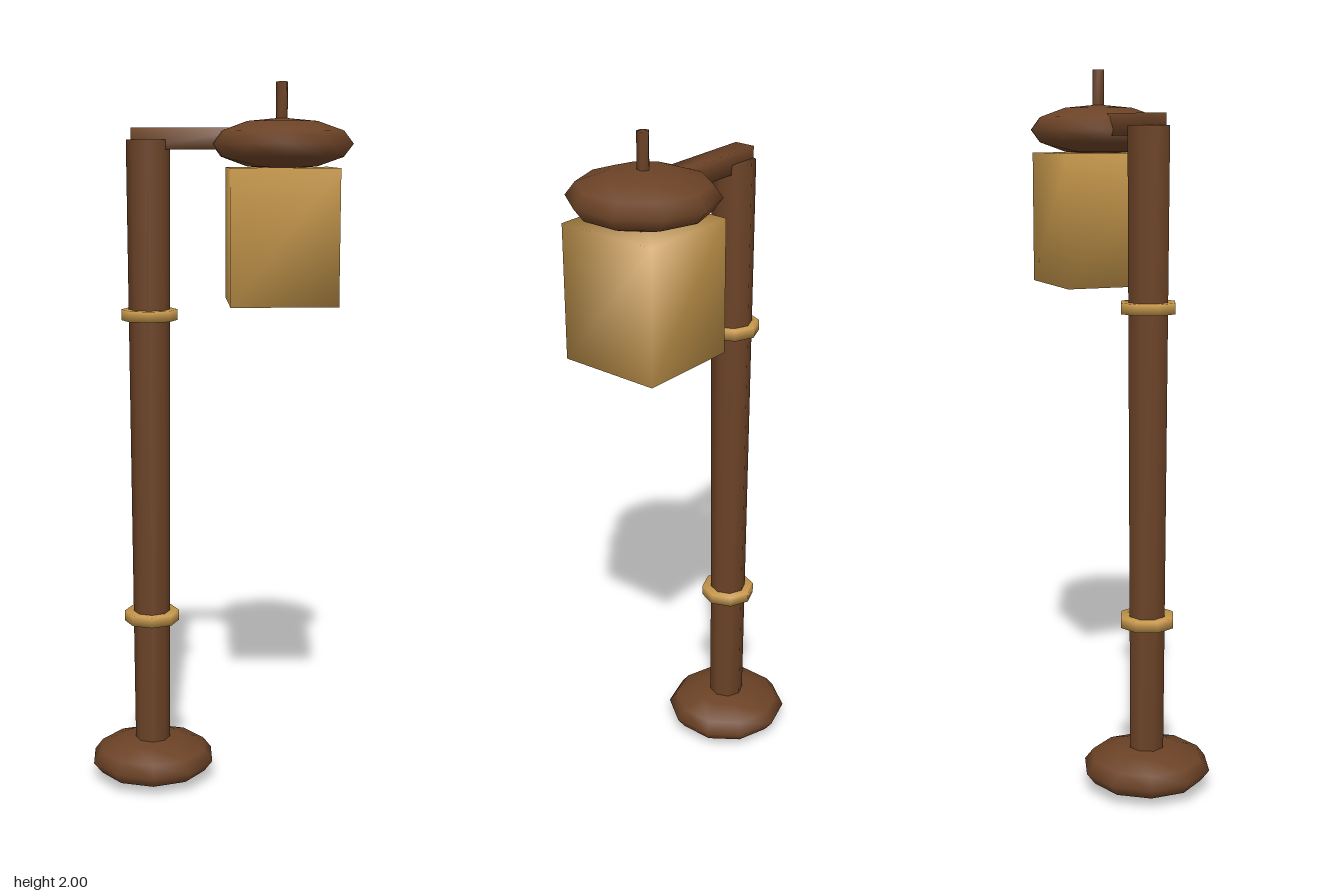
import * as THREE from 'three';
import { mergeVertices } from 'three/addons/utils/BufferGeometryUtils.js';

// Weld corners so shading runs smoothly over the low-poly forms
function weld(geometry) {
  geometry.deleteAttribute('normal');
  geometry.deleteAttribute('uv');
  const welded = mergeVertices(geometry, 1e-4);
  welded.computeVertexNormals();
  return welded;
}

export function createModel() {
  const wood = new THREE.MeshStandardMaterial({ color: 0x6b4226 });
  wood.name = 'brown wood';
  const amber = new THREE.MeshStandardMaterial({ color: 0xc4964b });
  amber.name = 'amber';

  const model = new THREE.Group();
  model.name = 'lampPost';
  const postX = -0.193;
  const lampX = 0.173;

  function add(name, geometry, material, x, y) {
    const mesh = new THREE.Mesh(weld(geometry), material);
    mesh.name = name;
    mesh.position.set(x, y, 0);
    model.add(mesh);
    return mesh;
  }

  // Flattened ten-sided ball with corners on the z axis
  const disc = (radius, halfHeight) =>
    new THREE.SphereGeometry(1, 10, 6).rotateY(Math.PI / 2).scale(radius, halfHeight, radius);

  // Base and tapered post
  add('base', disc(0.181, 0.064), wood, postX, 0.064);
  add('post', new THREE.CylinderGeometry(0.06, 0.05, 1.78, 8), wood, postX, 0.955);

  // Bands around the post
  for (const [name, y] of [['lowerBand', 0.494], ['upperBand', 1.367]]) {
    add(name, new THREE.CylinderGeometry(0.078, 0.078, 0.03, 8), amber, postX, y);
  }

  // Arm reaching into the lamp cap
  add('arm', new THREE.BoxGeometry(0.36, 0.058, 0.06), wood, -0.06, 1.848);

  // Lantern, cap and finial
  add('lantern', new THREE.BoxGeometry(0.294, 0.37, 0.294), amber, lampX, 1.585);
  add('cap', disc(0.2, 0.07), wood, lampX, 1.834);
  add('finial', new THREE.CylinderGeometry(0.017, 0.017, 0.13, 5).rotateY(Math.PI), wood, lampX, 1.935);

  return model;
}
